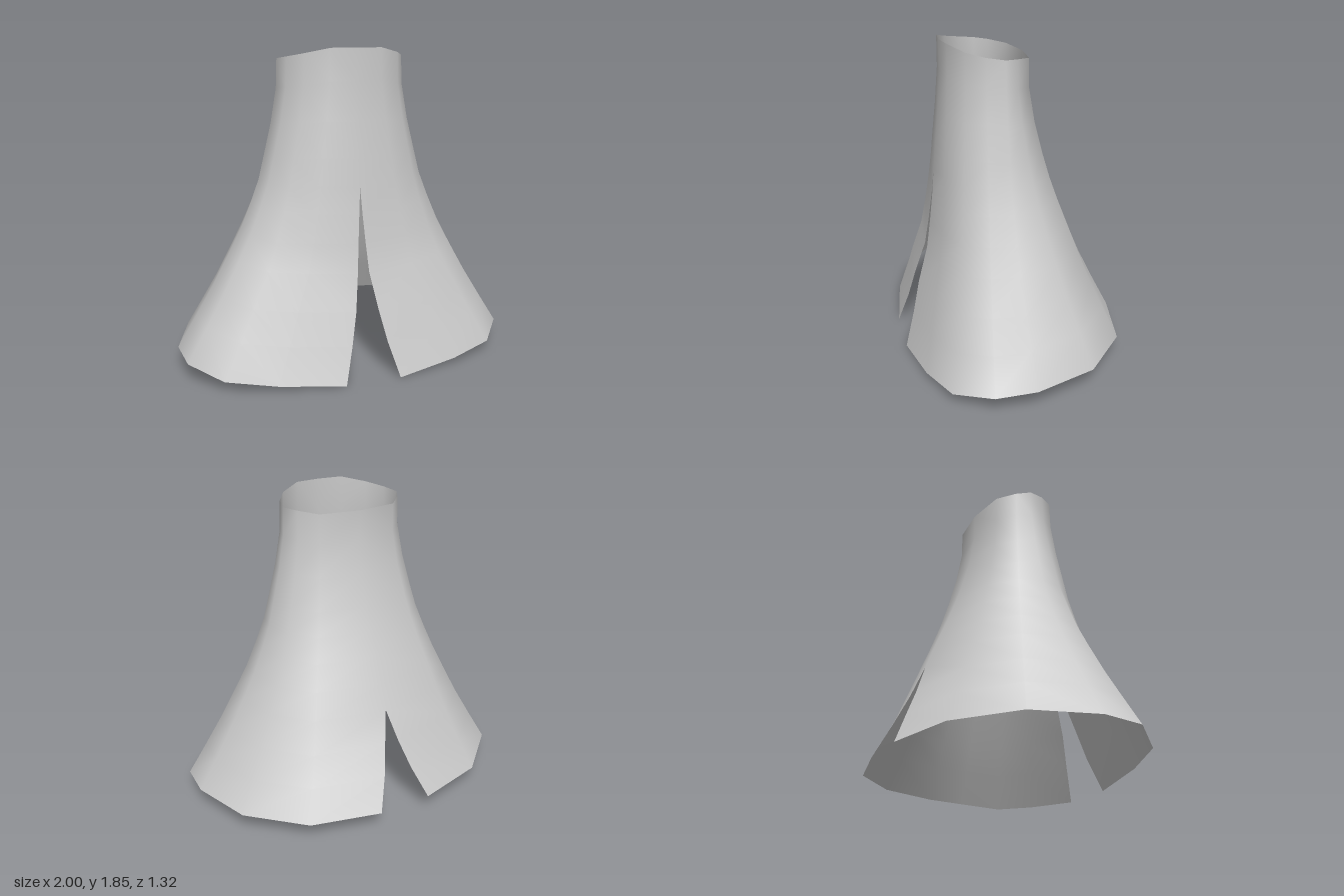
import * as THREE from 'three';
import { mergeVertices } from 'three/addons/utils/BufferGeometryUtils.js';

// Waist and hem outlines of one half [x, y, z], running from front to back
const waist = [[0, 1.845, 0.37], [0.15, 1.845, 0.355], [0.28, 1.815, 0.28], [0.35, 1.795, 0.18],
  [0.378, 1.782, 0.08], [0.33, 1.775, 0], [0.24, 1.762, -0.09], [0, 1.76, -0.12]];
const hem = [[0.165, 0, 0.655], [0.54, 0.035, 0.595], [0.82, 0.065, 0.5], [0.985, 0.112, 0.305],
  [1, 0.122, 0.07], [0.88, 0.122, -0.29], [0.58, 0.112, -0.56], [0.165, 0.105, -0.66]];

// Drop from waist to hem for each row, and how far each side has flared there
const drop = [0, 0.1, 0.22, 0.33, 0.415, 0.5, 0.59, 0.68, 0.79, 0.89, 1];
const flare = {
  front: [0, 0, 0.06, 0.13, 0.18, 0.235, 0.31, 0.4, 0.62, 0.78, 1],
  side: [0, 0.01, 0.065, 0.135, 0.19, 0.275, 0.376, 0.5, 0.66, 0.82, 1],
  back: [0, 0, 0.065, 0.16, 0.25, 0.35, 0.465, 0.57, 0.7, 0.84, 1],
};
// Half-widths of the front and back slits for each row
const frontSlit = [0, 0, 0, 0, 0, 0.01, 0.022, 0.035, 0.068, 0.108, 0.165];
const backSlit = [0, 0, 0, 0, 0, 0, 0, 0, 0.045, 0.093, 0.165];
const last = waist.length - 1;
const lerp = THREE.MathUtils.lerp;

function skirtPoint(row, col, side) {
  const a = waist[col], b = hem[col];
  const s = Math.min(1, col / 3), k = Math.max(0, (col - 4) / 3);
  const f = lerp(lerp(flare.front[row], flare.side[row], s), flare.back[row], k);
  let x = lerp(a[0], b[0], f);
  if (col === 0) x = frontSlit[row];
  if (col === last) x = backSlit[row];
  return [x * side, lerp(a[1], b[1], drop[row]), lerp(a[2], b[2], f)];
}

export function createModel() {
  const positions = [], index = [];
  const cols = last + 1;
  // Two mirrored halves, welded along the centre above the slits
  for (const side of [1, -1]) {
    const base = positions.length / 3;
    for (let r = 0; r < drop.length; r++) {
      for (let c = 0; c < cols; c++) {
        positions.push(...skirtPoint(r, c, side));
        if (r === drop.length - 1 || c === last) continue;
        const a = base + r * cols + c, b = a + 1, d = a + cols, e = d + 1;
        if (side > 0) index.push(a, d, b, b, d, e);
        else index.push(a, b, d, b, e, d);
      }
    }
  }
  let geometry = new THREE.BufferGeometry();
  geometry.setAttribute('position', new THREE.Float32BufferAttribute(positions, 3));
  geometry.setIndex(index);
  geometry = mergeVertices(geometry, 1e-4);
  geometry.computeVertexNormals();

  const skirt = new THREE.Mesh(geometry, new THREE.MeshStandardMaterial({
    color: 0xcccccc, side: THREE.DoubleSide,
  }));
  skirt.name = 'slitSkirt';
  const group = new THREE.Group();
  group.name = 'skirt';
  group.add(skirt);
  return group;
}
